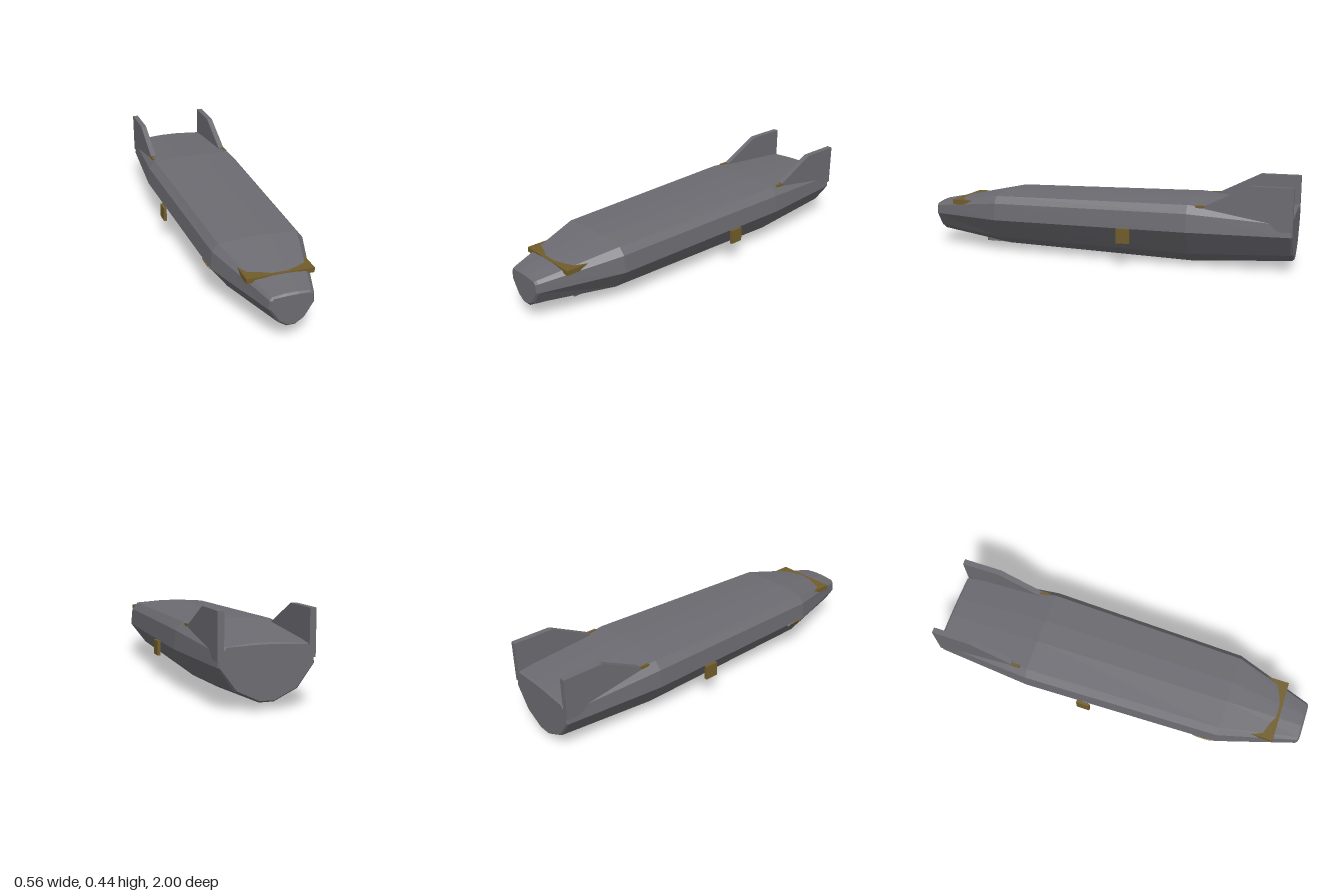
import * as THREE from 'three';

const grey = new THREE.MeshStandardMaterial({ color: 0x6c6b71, flatShading: true });
grey.name = 'hull grey';
const gold = new THREE.MeshStandardMaterial({ color: 0x715d2b, flatShading: true });
gold.name = 'dark gold';

// Half cross-sections [x, y] from keel to roof, ordered nose to tail
const nose = [[0.021, 0.078], [0.063, 0.105], [0.111, 0.18], [0.108, 0.226], [0.094, 0.24], [0.03, 0.247]];
const shoulder = [[0.037, 0.021], [0.155, 0.077], [0.242, 0.19], [0.234, 0.28], [0.202, 0.317], [0.055, 0.327]];
const waist = [[0.042, 0], [0.172, 0.067], [0.27, 0.2], [0.262, 0.293], [0.226, 0.333], [0.062, 0.343]];
const tail = [[0.035, 0.037], [0.145, 0.09], [0.224, 0.198], [0.218, 0.258], [0.192, 0.289], [0.052, 0.299]];

// Shrinks a section towards its middle for the bevelled ends
function inset(section, amount, cy) {
  return section.map(([x, y]) => {
    const k = 1 - amount / Math.hypot(x, y - cy);
    return [x * k, cy + (y - cy) * k];
  });
}

// Skins mirrored cross-sections into a closed hull
function loft(sections) {
  const pos = [];
  const index = [];
  const n = sections[0][1].length * 2;
  for (const [z, half] of sections) {
    const ring = [...half, ...[...half].reverse().map(([x, y]) => [-x, y])];
    for (const [x, y] of ring) pos.push(x, y, z);
  }
  for (let s = 0; s < sections.length - 1; s++) {
    for (let i = 0; i < n; i++) {
      const a = s * n + i;
      const b = s * n + (i + 1) % n;
      index.push(a, a + n, b, b, a + n, b + n);
    }
  }
  const last = (sections.length - 1) * n;
  for (let i = 1; i < n - 1; i++) {
    index.push(0, i, i + 1);
    index.push(last, last + i + 1, last + i);
  }
  const g = new THREE.BufferGeometry();
  g.setAttribute('position', new THREE.Float32BufferAttribute(pos, 3));
  g.setIndex(index);
  const flat = g.toNonIndexed();
  flat.computeVertexNormals();
  return flat;
}

export function createModel() {
  const model = new THREE.Group();
  model.name = 'spacecraft';

  function add(name, geometry, material, x = 0, y = 0, z = 0) {
    const mesh = new THREE.Mesh(geometry, material);
    mesh.name = name;
    mesh.position.set(x, y, z);
    model.add(mesh);
    return mesh;
  }
  const box = (name, material, w, h, d, x, y, z) =>
    add(name, new THREE.BoxGeometry(w, h, d), material, x, y, z);

  // Faceted hull with small bevels at both ends
  add('hull', loft([
    [1, inset(nose, 0.01, 0.175)],
    [0.99, nose],
    [0.58, shoulder],
    [-0.48, waist],
    [-0.99, tail],
    [-1, inset(tail, 0.008, 0.19)],
  ]), grey);

  // Nose canard, partly sunk into the sloping top
  box('noseCanard', gold, 0.336, 0.025, 0.125, 0, 0.262, 0.803);

  // Keel skid with a gold front face
  box('keelSkid', grey, 0.03, 0.02, 0.18, 0, 0.028, 0.635);
  box('keelSkidFront', gold, 0.03, 0.02, 0.006, 0, 0.028, 0.728);

  // Swept tail fin outline, drawn as (z, y)
  const fin = new THREE.Shape([[-0.57, 0.225], [-0.57, 0.332], [-0.79, 0.443], [-1, 0.443], [-1, 0.225]]
    .map(([z, y]) => new THREE.Vector2(-z, y)));
  const finGeometry = new THREE.ExtrudeGeometry(fin, { depth: 0.03, bevelEnabled: false });
  finGeometry.rotateY(Math.PI / 2);

  for (const side of [1, -1]) {
    const label = side > 0 ? 'left' : 'right';
    add(label + 'TailFin', finGeometry, grey, side * 0.212 - 0.015);
    box(label + 'SidePlate', gold, 0.016, 0.076, 0.072, side * 0.27, 0.16, -0.155);
    // Small marking at the root of the fin
    box(label + 'FinRootMark', gold, 0.014, 0.012, 0.05, side * 0.222, 0.326, -0.545);
  }

  // Flush marking on the right flank
  const mark = add('flankMark', new THREE.CylinderGeometry(0.055, 0.055, 0.006, 10), gold, -0.2395, 0.181, 0.51);
  mark.scale.set(0.28, 1, 1);
  mark.rotation.z = Math.PI / 2 + 0.65;

  return model;
}
